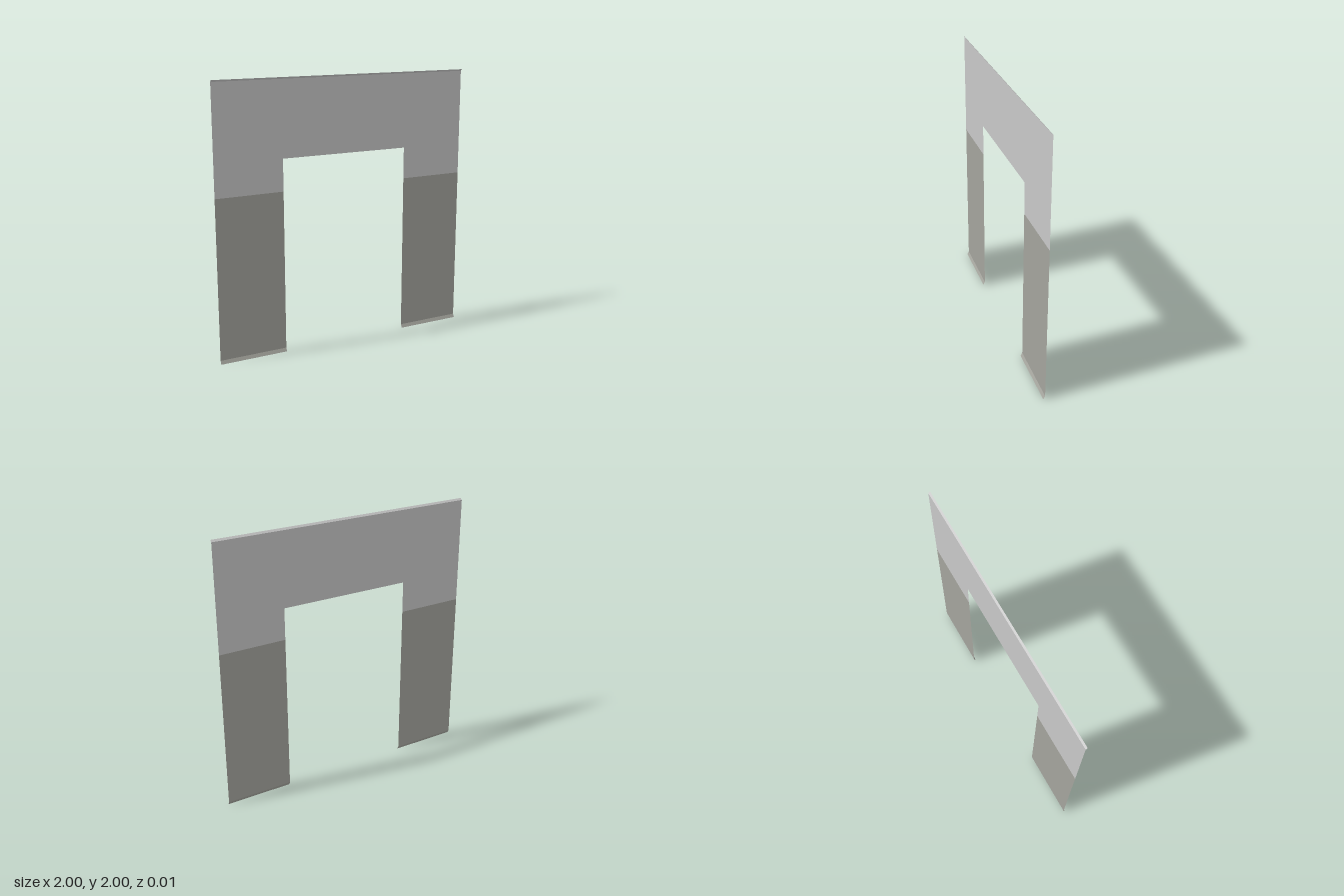
import * as THREE from 'three';

const BACK = -0.0065, FRONT = 0.0065;   // wall plane and lip edge
const OPEN_L = -0.49, OPEN_R = 0.5, OPEN_TOP = 1.435;
const SPLIT = 1.2, FOOT = 0.025, HEAD = 1.987;

// Flat sheet spanning x0..x1 between (y0, z0) and (y1, z1)
function sheet(name, material, x0, x1, y0, z0, y1, z1) {
  const geometry = new THREE.PlaneGeometry(x1 - x0, 1);
  const pos = geometry.attributes.position;
  for (let i = 0; i < pos.count; i++) {
    const t = pos.getY(i) + 0.5;
    pos.setXYZ(i, pos.getX(i) + (x0 + x1) / 2, y0 + (y1 - y0) * t, z0 + (z1 - z0) * t);
  }
  geometry.computeVertexNormals();
  const mesh = new THREE.Mesh(geometry, material);
  mesh.name = name;
  return mesh;
}

export function createModel() {
  const group = new THREE.Group();
  group.name = 'doorwayWall';
  const upperPaint = new THREE.MeshStandardMaterial({ name: 'light grey', color: 0xc8c8c8, side: THREE.DoubleSide });
  const lowerPaint = new THREE.MeshStandardMaterial({ name: 'warm grey', color: 0xa4a49d, side: THREE.DoubleSide });

  // Upper wall wrapping over the doorway
  const outline = [[-1, SPLIT], [OPEN_L, SPLIT], [OPEN_L, OPEN_TOP], [OPEN_R, OPEN_TOP],
    [OPEN_R, SPLIT], [1, SPLIT], [1, HEAD], [-1, HEAD]];
  const shape = new THREE.Shape(outline.map(([x, y]) => new THREE.Vector2(x, y)));
  const upper = new THREE.Mesh(new THREE.ShapeGeometry(shape), upperPaint);
  upper.name = 'upperWall';
  upper.position.z = BACK;
  group.add(upper);

  // Top lip flaring forward
  group.add(sheet('topLip', upperPaint, -1, 1, HEAD, BACK, 2, FRONT));

  // Lower wall panels with sloped skirting lips
  for (const [side, x0, x1] of [['right', -1, OPEN_L], ['left', OPEN_R, 1]]) {
    group.add(sheet(side + 'LowerWall', lowerPaint, x0, x1, FOOT, BACK, SPLIT, BACK));
    group.add(sheet(side + 'BottomLip', lowerPaint, x0, x1, 0, FRONT, FOOT, BACK));
  }
  return group;
}
